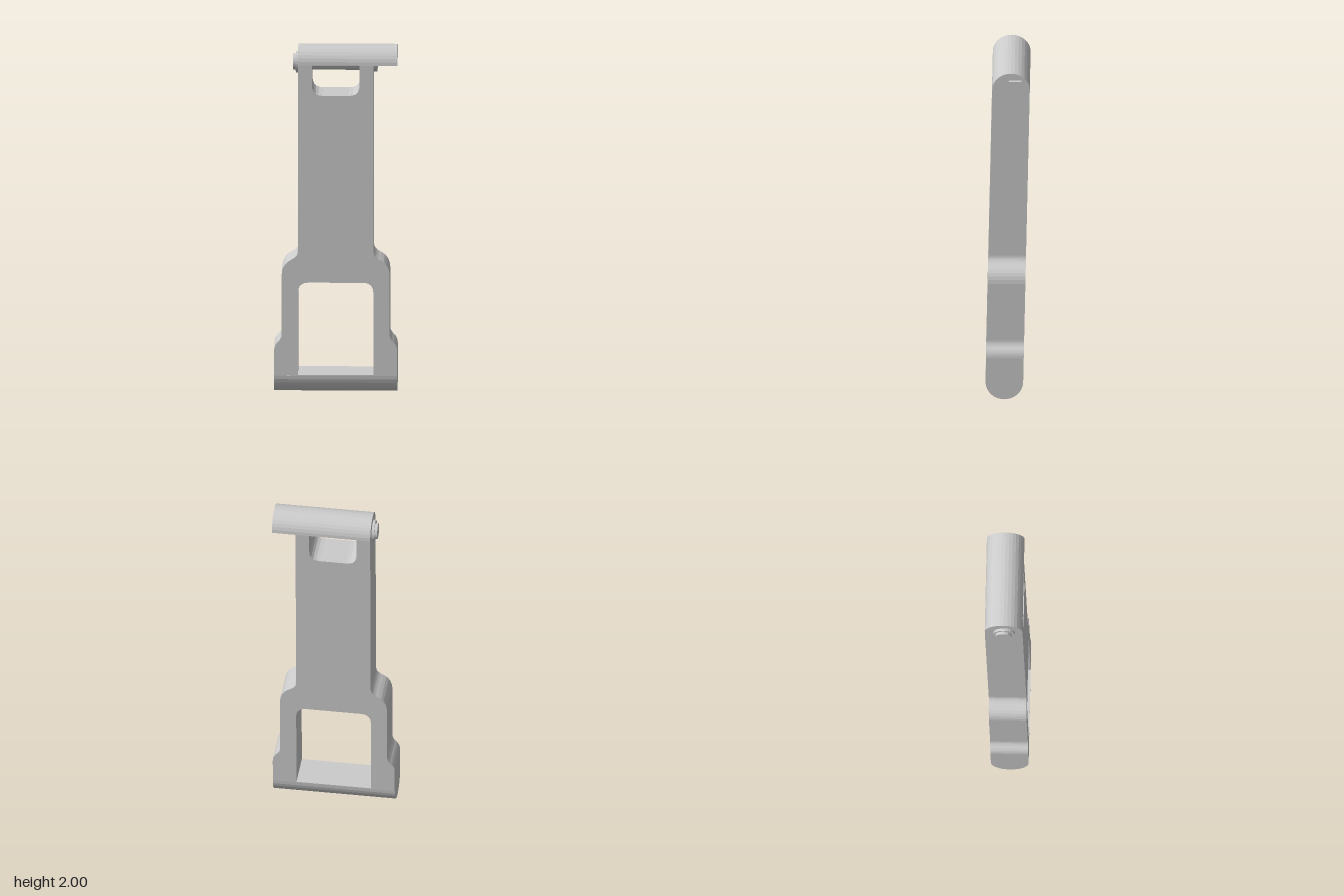
import * as THREE from 'three';

const material = new THREE.MeshStandardMaterial({ color: 0xcccccc, flatShading: true });
const R = 0.1065;            // half the slab thickness
const TOP = 1.9;             // pin axis and underside of the hood
const U = 0.019;             // how far the tilted ends sit off centre

function add(group, name, geometry) {
  const mesh = new THREE.Mesh(geometry, material);
  mesh.name = name;
  group.add(mesh);
  return mesh;
}

// Extrudes a side profile (u = -z, y) along x from x0 to x1
function alongX(shape, x0, x1) {
  const g = new THREE.ExtrudeGeometry(shape, { depth: x1 - x0, bevelEnabled: false, curveSegments: 8 });
  return g.rotateY(Math.PI / 2).translate(x0, 0, 0);
}

// Cylinder lying along x on the pin axis
function rod(radius, x0, x1, z = -U) {
  return new THREE.CylinderGeometry(radius, radius, x1 - x0, 20)
    .rotateZ(Math.PI / 2).translate((x0 + x1) / 2, TOP - 0.003, z);
}

// Front outline: stepped handle, open window at the top, rounded hole below
function bodyGeometry() {
  const s = new THREE.Shape();
  s.moveTo(-0.348, R);
  s.lineTo(0.348, R);
  s.lineTo(0.348, 0.25);
  s.quadraticCurveTo(0.347, 0.28, 0.328, 0.3);
  s.quadraticCurveTo(0.305, 0.32, 0.305, 0.345);
  s.lineTo(0.305, 0.69);
  s.quadraticCurveTo(0.302, 0.75, 0.255, 0.775);
  s.quadraticCurveTo(0.213, 0.795, 0.213, 0.825);
  s.lineTo(0.213, TOP);
  s.lineTo(0.135, TOP);
  s.lineTo(0.135, 1.785);
  s.quadraticCurveTo(0.135, 1.725, 0.075, 1.725);
  s.lineTo(-0.075, 1.725);
  s.quadraticCurveTo(-0.135, 1.725, -0.135, 1.785);
  s.lineTo(-0.135, TOP);
  s.lineTo(-0.213, TOP);
  s.lineTo(-0.213, 0.825);
  s.quadraticCurveTo(-0.213, 0.795, -0.255, 0.775);
  s.quadraticCurveTo(-0.302, 0.75, -0.305, 0.69);
  s.lineTo(-0.305, 0.345);
  s.quadraticCurveTo(-0.305, 0.32, -0.328, 0.3);
  s.quadraticCurveTo(-0.347, 0.28, -0.348, 0.25);
  s.closePath();

  const hole = new THREE.Path();
  hole.moveTo(-0.213, 0.112);
  hole.lineTo(-0.213, 0.59);
  hole.quadraticCurveTo(-0.21, 0.645, -0.155, 0.645);
  hole.lineTo(0.155, 0.645);
  hole.quadraticCurveTo(0.21, 0.645, 0.213, 0.59);
  hole.lineTo(0.213, 0.112);
  hole.closePath();
  s.holes.push(hole);

  const g = new THREE.ExtrudeGeometry(s, { depth: 2 * R, bevelEnabled: false, curveSegments: 5 });
  g.translate(0, 0, -R);
  // Lean the slab backward towards the top
  const p = g.attributes.position;
  for (let i = 0; i < p.count; i++) p.setZ(i, p.getZ(i) + 0.021 * (1 - p.getY(i)));
  g.computeVertexNormals();
  return g;
}

// Half round hood; the hollow version has a hook groove and a pin channel
function hoodShape(hollow) {
  const s = new THREE.Shape();
  s.moveTo(U + R, TOP);
  s.absellipse(U, TOP, R, 0.1, 0, Math.PI, false);
  if (hollow) {
    s.lineTo(-0.07, TOP);
    s.bezierCurveTo(-0.07, 1.952, -0.035, 1.952, -0.03, TOP);
    s.lineTo(-0.01, TOP);
    s.bezierCurveTo(0.01, 1.93, 0.0, 1.97, 0.02, 1.978);
    s.bezierCurveTo(0.07, 1.975, 0.1, 1.95, 0.105, TOP);
  }
  s.closePath();
  return s;
}

export function createModel() {
  const group = new THREE.Group();
  group.name = 'lever';

  add(group, 'body', bodyGeometry());

  // Rounded foot closing the bottom of the slab
  const foot = new THREE.Shape();
  foot.absarc(-U, R, R, Math.PI, 2 * Math.PI, false);
  foot.closePath();
  add(group, 'roundedFoot', alongX(foot, -0.348, 0.348));

  // Hood: solid over the two cheeks, hollow over the window and overhang
  add(group, 'rightCheekHood', alongX(hoodShape(false), -0.213, -0.135));
  add(group, 'windowHood', alongX(hoodShape(true), -0.135, 0.135));
  add(group, 'leftCheekHood', alongX(hoodShape(false), 0.135, 0.213));
  add(group, 'overhangHood', alongX(hoodShape(true), 0.213, 0.348));

  // Pin with a stepped head on one side and a half collar under the overhang
  add(group, 'pin', rod(0.045, -0.2, 0.2));
  add(group, 'pinFlange', rod(0.06, -0.227, -0.213, -0.015));
  add(group, 'pinHead', rod(0.045, -0.243, -0.227));
  const collar = new THREE.Shape();
  collar.absarc(U, TOP, 0.058, Math.PI, 2 * Math.PI, false);
  collar.closePath();
  add(group, 'pinCollar', alongX(collar, 0.213, 0.235));

  return group;
}
